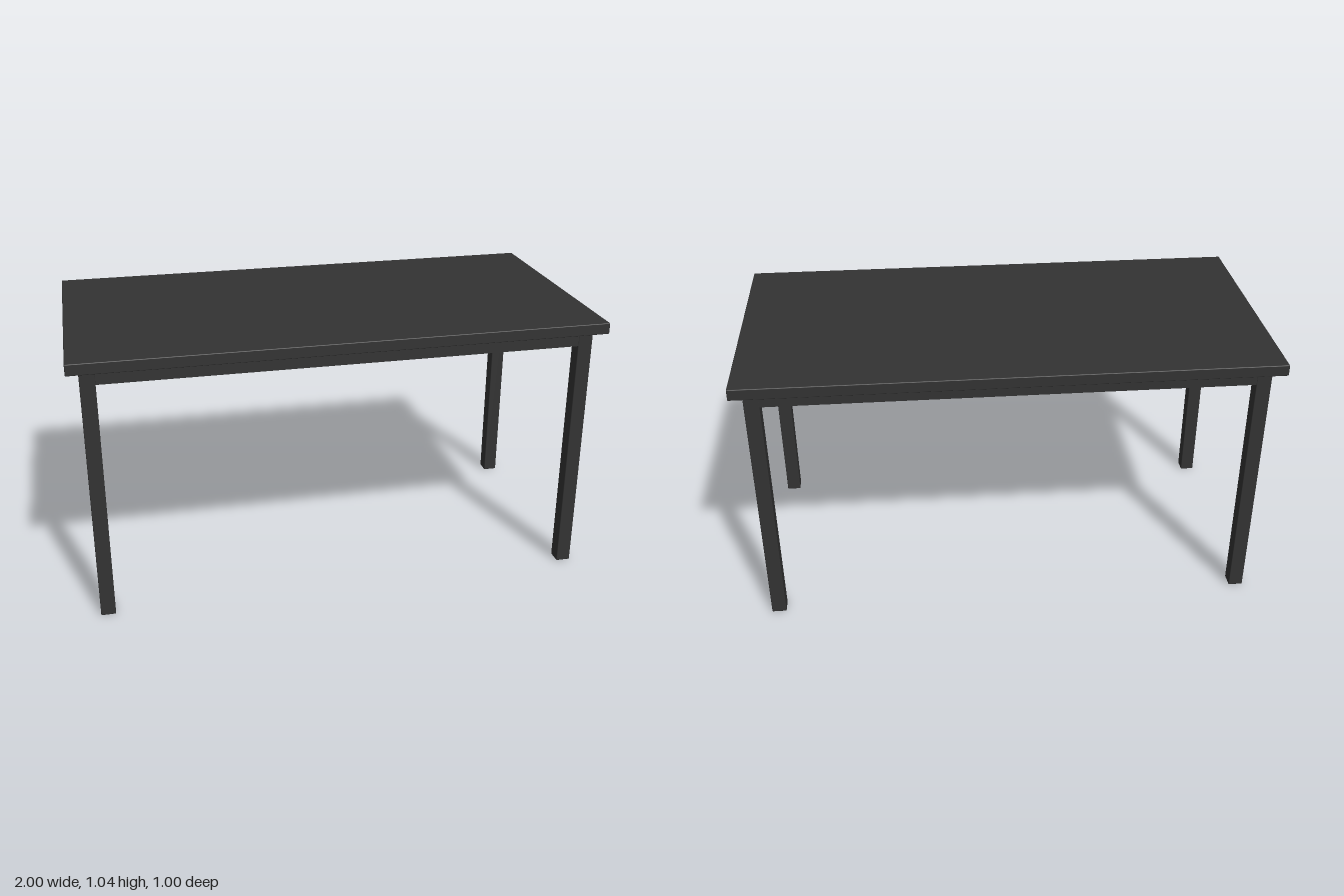
import * as THREE from 'three';
import { RoundedBoxGeometry } from 'three/addons/geometries/RoundedBoxGeometry.js';

const TOP_Y = 1.0, TOP_THICKNESS = 0.043;
const BAR = 0.056;             // square section of legs and rails
const LEG_X = 0.928, LEG_Z = 0.429;

export function createModel() {
  const table = new THREE.Group();
  table.name = 'table';
  const material = new THREE.MeshStandardMaterial({ color: 0x333333 });

  function add(name, geometry, x, y, z) {
    const mesh = new THREE.Mesh(geometry, material);
    mesh.name = name;
    mesh.position.set(x, y, z);
    table.add(mesh);
  }

  // Table top with slightly eased edges
  add('tableTop', new RoundedBoxGeometry(2, TOP_THICKNESS, 1, 2, 0.003), 0, TOP_Y + TOP_THICKNESS / 2, 0);

  // Four square legs at the corners
  for (const [sideName, sx] of [['Left', 1], ['Right', -1]]) {
    for (const [endName, sz] of [['front', 1], ['back', -1]]) {
      add(`${endName}${sideName}Leg`, new RoundedBoxGeometry(BAR, TOP_Y, BAR, 2, 0.003),
        sx * LEG_X, TOP_Y / 2, sz * LEG_Z);
    }
  }

  // Rails between the legs, under the top
  const railY = TOP_Y - BAR / 2;
  for (const [name, s] of [['front', 1], ['back', -1]]) {
    add(`${name}Rail`, new THREE.BoxGeometry(2 * LEG_X - BAR, BAR, BAR), 0, railY, s * LEG_Z);
  }
  for (const [name, s] of [['left', 1], ['right', -1]]) {
    add(`${name}Rail`, new THREE.BoxGeometry(BAR, BAR, 2 * LEG_Z - BAR), s * LEG_X, railY, 0);
  }

  return table;
}
